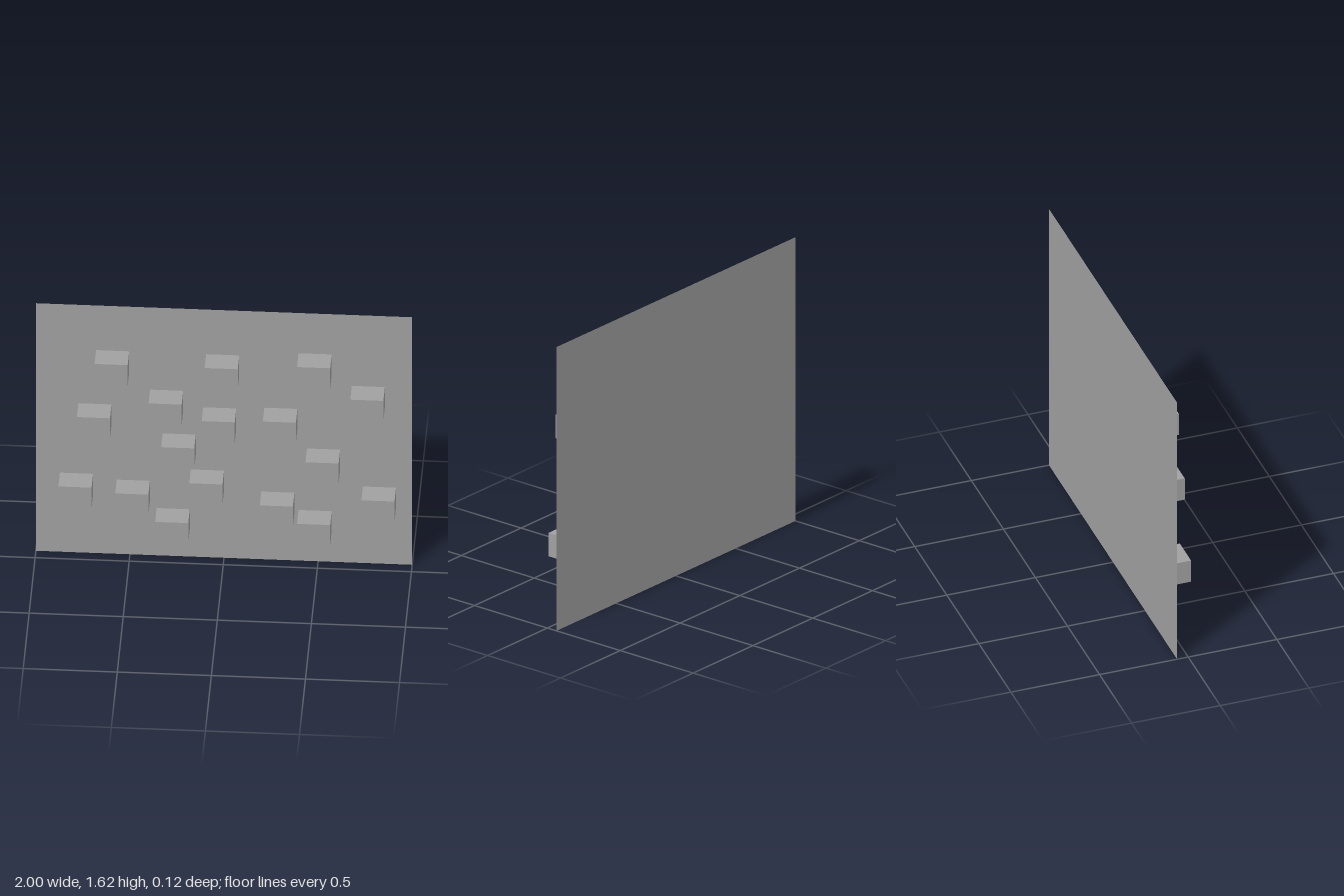
import * as THREE from 'three';

export function createModel() {
  const model = new THREE.Group();
  const grey = new THREE.MeshStandardMaterial({ color: 0xa0a0a0, side: THREE.DoubleSide, flatShading: true });
  grey.name = 'plain grey';

  const W = 0.176, H = 0.134, D = 0.125;

  // Flat wall sheet behind the boxes
  const wall = new THREE.Mesh(new THREE.PlaneGeometry(2, 1.625), grey);
  wall.name = 'wall';
  wall.position.set(0, 0.8125, -D / 2);
  model.add(wall);

  // Box with a short thin rod set into the right half of its underside
  const boxGeometry = new THREE.BoxGeometry(W, H, D);
  const rodGeometry = new THREE.CylinderGeometry(0.01, 0.01, W / 2 - 0.003, 8).rotateZ(Math.PI / 2);

  // Left edge and top edge of every box
  const places = [
    [-0.68, 1.332], [-0.095, 1.332], [0.396, 1.361], [0.679, 1.16],
    [-0.393, 1.086], [-0.774, 0.979], [-0.111, 0.983], [0.214, 0.995],
    [-0.326, 0.802], [0.441, 0.738], [-0.872, 0.519], [-0.57, 0.487],
    [-0.176, 0.572], [0.198, 0.444], [0.738, 0.502], [0.396, 0.332],
    [-0.358, 0.31],
  ];
  places.forEach(([left, top], i) => {
    const unit = new THREE.Group();
    unit.name = `wallUnit${i + 1}`;
    unit.position.set(left + W / 2, top - H / 2, 0);

    const box = new THREE.Mesh(boxGeometry, grey);
    box.name = 'box';
    const rod = new THREE.Mesh(rodGeometry, grey);
    rod.name = 'undersideRod';
    rod.position.set(W / 4, -H / 2 - 0.001, -0.015);

    unit.add(box, rod);
    model.add(unit);
  });

  return model;
}
